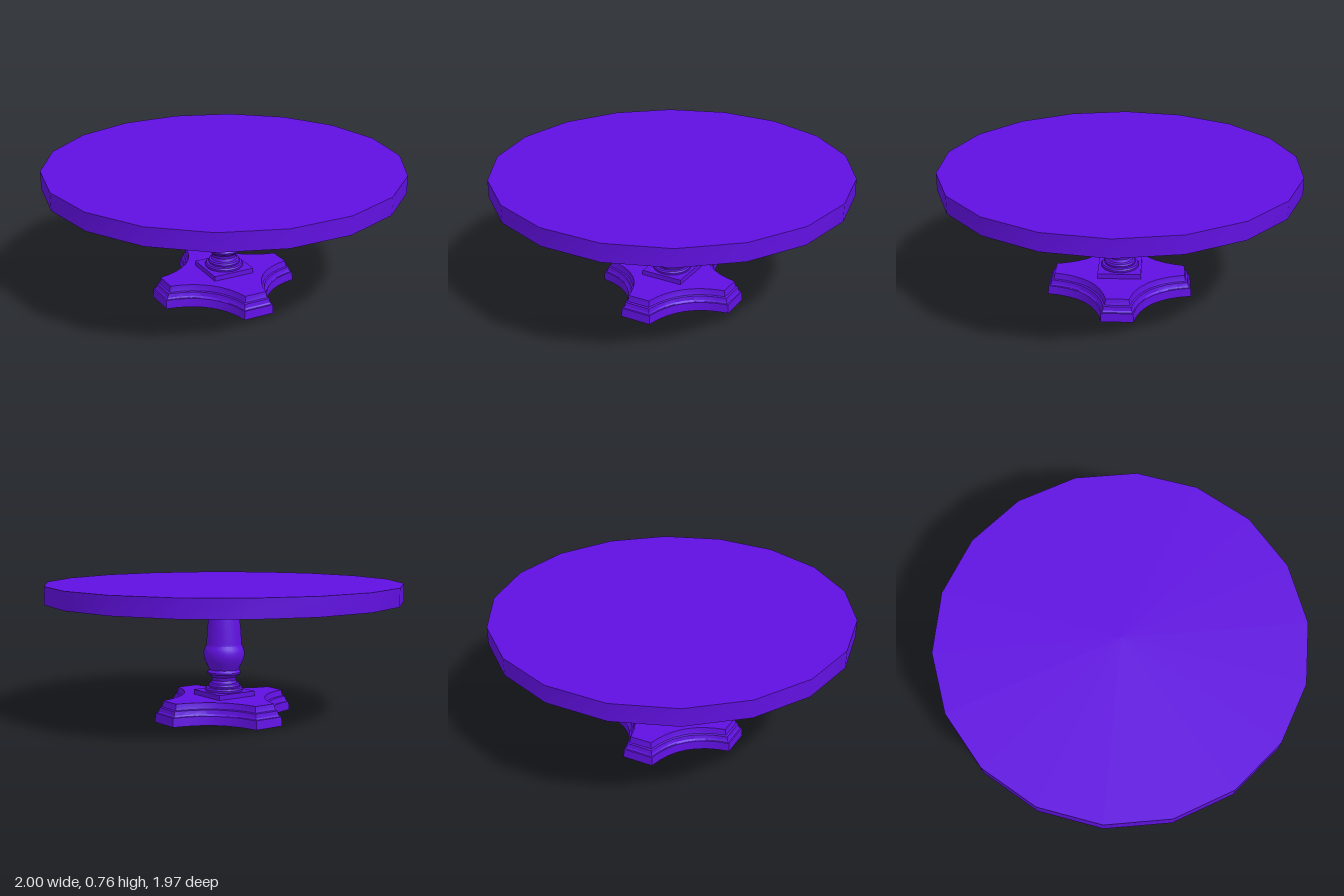
import * as THREE from 'three';
import { toCreasedNormals } from 'three/addons/utils/BufferGeometryUtils.js';

const material = new THREE.MeshStandardMaterial({ color: 0x6010e0 });

function addPart(group, name, geometry, y = 0) {
  const mesh = new THREE.Mesh(toCreasedNormals(geometry, 0.5), material);
  mesh.name = name;
  mesh.position.y = y;
  group.add(mesh);
  return mesh;
}

// Four-armed outline with concave sides, shrunk inwards by d
function footOutline(d) {
  const reach = 0.41 - d, half = 0.09 - 0.65 * d, middle = 0.27 - 0.9 * d;
  const control = (2 * middle - (reach + half) / Math.SQRT2) / Math.SQRT2;
  const curve = new THREE.QuadraticBezierCurve(
    new THREE.Vector2(half, reach),
    new THREE.Vector2(control, control),
    new THREE.Vector2(reach, half)
  );
  const points = [];
  for (let arm = 0; arm < 4; arm++) {
    for (const p of curve.getPoints(8)) {
      points.push(p.rotateAround(new THREE.Vector2(), -arm * Math.PI / 2));
    }
  }
  return points;
}

// Stacks the foot outline along a moulding profile of [inset, height] pairs
function mouldedFoot(profile) {
  const positions = [];
  const rings = profile.map(([d, y]) => footOutline(d).map(p => [p.x, y, p.y]));
  const n = rings[0].length;
  const top = rings[rings.length - 1];
  for (let i = 0; i < n; i++) {
    const j = (i + 1) % n;
    for (let k = 0; k < rings.length - 1; k++) {
      const a = rings[k], b = rings[k + 1];
      positions.push(...a[i], ...a[j], ...b[j], ...a[i], ...b[j], ...b[i]);
    }
    positions.push(0, top[0][1], 0, ...top[i], ...top[j]);
    positions.push(0, 0, 0, ...rings[0][j], ...rings[0][i]);
  }
  const geometry = new THREE.BufferGeometry();
  geometry.setAttribute('position', new THREE.Float32BufferAttribute(positions, 3));
  return geometry;
}

export function createModel() {
  const table = new THREE.Group();
  table.name = 'pedestalTable';

  // Eighteen-sided top with corners on the x axis
  const top = new THREE.CylinderGeometry(1, 1, 0.1, 18);
  top.rotateY(Math.PI / 2);
  addPart(table, 'tableTop', top, 0.71);

  // Moulded foot
  addPart(table, 'foot', mouldedFoot([
    [0, 0], [0.004, 0.05], [0.011, 0.052], [0.018, 0.06], [0.022, 0.082],
    [0.032, 0.086], [0.037, 0.1], [0.04, 0.12]
  ]));

  // Square plinth
  addPart(table, 'plinth', new THREE.BoxGeometry(0.246, 0.03, 0.246), 0.133);

  // Turned column
  const profile = [
    [0.104, 0.145], [0.108, 0.153], [0.108, 0.16], [0.102, 0.168], [0.088, 0.17],
    [0.09, 0.18], [0.085, 0.19], [0.074, 0.195], [0.067, 0.21], [0.071, 0.228],
    [0.085, 0.24], [0.094, 0.247], [0.095, 0.256], [0.088, 0.264], [0.083, 0.27],
    [0.092, 0.29], [0.108, 0.318], [0.115, 0.345], [0.116, 0.37], [0.11, 0.393],
    [0.101, 0.408], [0.1, 0.42], [0.095, 0.5], [0.088, 0.568],
    [0.102, 0.572], [0.105, 0.579], [0.102, 0.586], [0.086, 0.59], [0.082, 0.665]
  ].map(([r, y]) => new THREE.Vector2(r, y));
  addPart(table, 'column', new THREE.LatheGeometry(profile, 24));

  return table;
}
